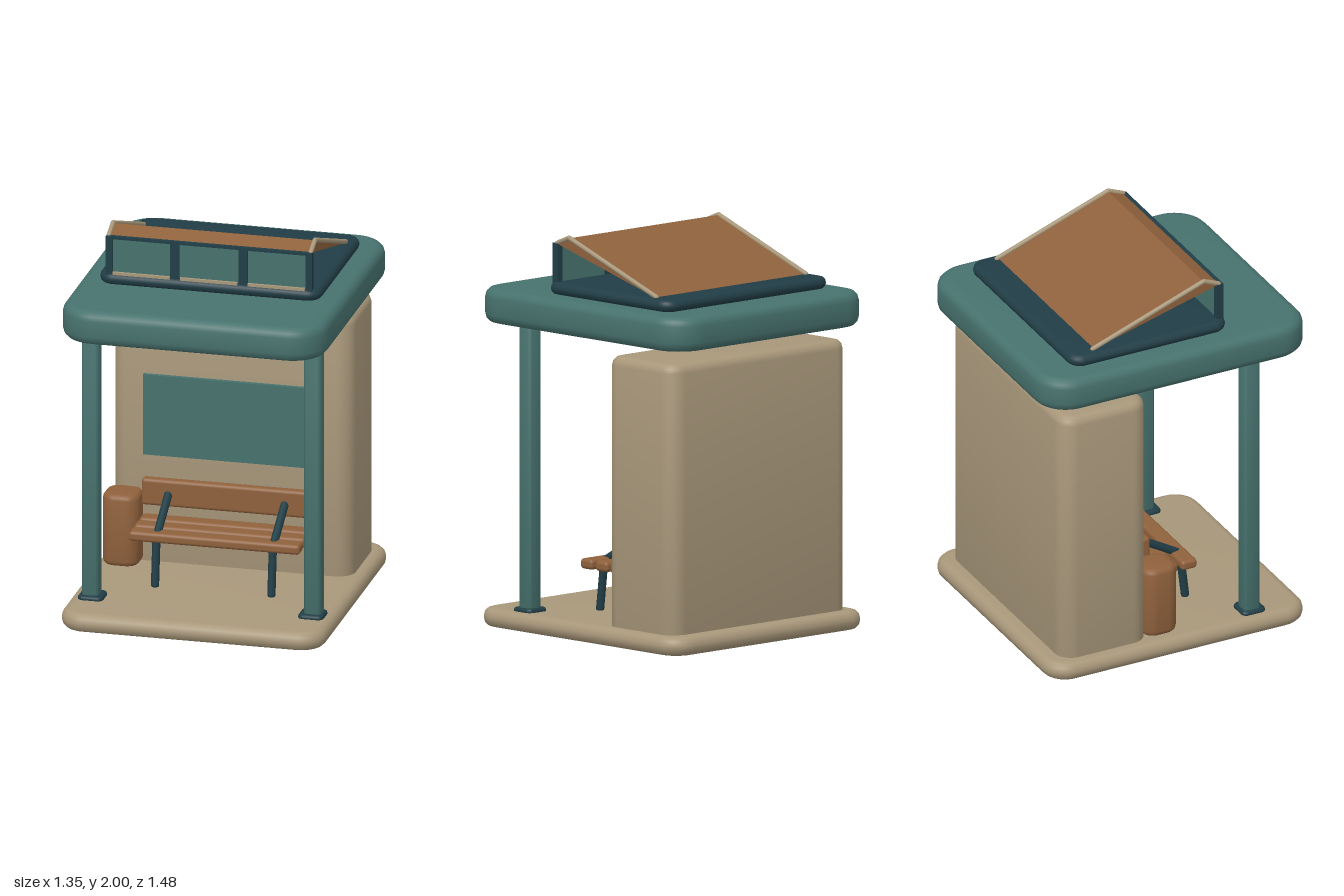
import * as THREE from 'three';
import { toCreasedNormals } from 'three/addons/utils/BufferGeometryUtils.js';
import { RoundedBoxGeometry } from 'three/addons/geometries/RoundedBoxGeometry.js';

function material(name, color) {
  const m = new THREE.MeshStandardMaterial({ color });
  m.name = name;
  return m;
}

// Rounded-corner slab lying flat, bevelled top and bottom, base at y = 0
function slabGeometry(w, d, h, r, bevel, segments = 3) {
  const x = w / 2 - bevel, y = d / 2 - bevel, c = r - bevel;
  const s = new THREE.Shape();
  s.moveTo(x, -y + c);
  s.lineTo(x, y - c);
  s.absarc(x - c, y - c, c, 0, Math.PI / 2);
  s.lineTo(-x + c, y);
  s.absarc(-x + c, y - c, c, Math.PI / 2, Math.PI);
  s.lineTo(-x, -y + c);
  s.absarc(-x + c, -y + c, c, Math.PI, Math.PI * 1.5);
  s.lineTo(x - c, -y);
  s.absarc(x - c, -y + c, c, Math.PI * 1.5, Math.PI * 2);
  const g = new THREE.ExtrudeGeometry(s, {
    depth: h - 2 * bevel, bevelEnabled: true, bevelSize: bevel,
    bevelThickness: bevel, bevelSegments: segments, curveSegments: 5,
  });
  g.translate(0, 0, bevel);
  g.rotateX(-Math.PI / 2);
  return toCreasedNormals(g, 0.75);
}

export function createModel() {
  const teal = material('teal', 0x47726e);
  const sand = material('sand', 0xa8977a);
  const wood = material('wood brown', 0x8f613c);
  const dark = material('dark slate', 0x213d46);
  const model = new THREE.Group();
  model.name = 'shelter';

  const add = (name, geometry, mat, x, y, z, parent = model) => {
    const mesh = new THREE.Mesh(geometry, mat);
    mesh.name = name;
    mesh.position.set(x, y, z);
    parent.add(mesh);
    return mesh;
  };
  const group = (name) => {
    const g = new THREE.Group();
    g.name = name;
    model.add(g);
    return g;
  };
  // Round-ended bar between two points
  const bar = (name, a, b, r, mat, parent) => {
    const p = new THREE.Vector3(...a), q = new THREE.Vector3(...b);
    const dir = q.clone().sub(p), mid = p.clone().add(q).multiplyScalar(0.5);
    const mesh = add(name, new THREE.CapsuleGeometry(r, dir.length(), 4, 12), mat, mid.x, mid.y, mid.z, parent);
    mesh.quaternion.setFromUnitVectors(new THREE.Vector3(0, 1, 0), dir.normalize());
  };

  // Floor, rear block and canopy
  add('floor', slabGeometry(1.35, 1.44, 0.095, 0.13, 0.042), sand, 0, 0, 0);
  add('rearBlock', slabGeometry(1.225, 0.485, 1.4, 0.09, 0.045), sand, 0, 0.05, -0.393);
  add('canopy', slabGeometry(1.35, 1.48, 0.175, 0.18, 0.046), teal, 0, 1.525, 0);
  add('noticePanel', new THREE.BoxGeometry(0.895, 0.42, 0.03), teal, 0, 0.87, -0.143);

  // Front posts on bevelled feet
  for (const side of [-1, 1]) {
    add('post', slabGeometry(0.088, 0.088, 1.46, 0.022, 0.008), teal, side * 0.568, 0.08, 0.425);
    add('postFoot', slabGeometry(0.13, 0.13, 0.03, 0.03, 0.014), dark, side * 0.563, 0.085, 0.43);
  }

  // Litter bin
  add('bin', slabGeometry(0.187, 0.187, 0.375, 0.065, 0.028), wood, -0.537, 0.105, -0.083);

  // Bench
  const bench = group('bench');
  for (const z of [0.164, 0.058, -0.045]) {
    add('seatSlat', new RoundedBoxGeometry(0.875, 0.052, 0.086, 3, 0.018), wood, 0, 0.345, z, bench);
  }
  add('backrest', new RoundedBoxGeometry(0.875, 0.14, 0.053, 3, 0.018), wood, 0, 0.49, -0.08, bench);
  for (const x of [-0.3, 0.295]) {
    bar('benchLeg', [x, 0.105, 0.207], [x, 0.345, 0.178], 0.021, dark, bench);
    bar('benchArm', [x, 0.345, 0.178], [x, 0.485, -0.06], 0.021, dark, bench);
  }

  // Rooftop vent: curb, window row and sloping cover
  const vent = group('roofVent');
  add('curb', slabGeometry(1.135, 0.875, 0.06, 0.075, 0.028), dark, 0, 1.7, -0.117, vent);
  for (const x of [-0.51, -0.175, 0.175, 0.51]) {
    const w = Math.abs(x) > 0.4 ? 0.034 : 0.045;
    add('windowPost', new THREE.BoxGeometry(w, 0.205, 0.036), dark, x, 1.85, 0.288, vent);
  }
  for (const x of [-0.345, 0, 0.345]) {
    add('window', new THREE.BoxGeometry(0.31, 0.19, 0.02), teal, x, 1.85, 0.285, vent);
    add('windowSill', new THREE.BoxGeometry(0.292, 0.014, 0.014), sand, x, 1.762, 0.308, vent);
  }
  add('topRail', new THREE.BoxGeometry(1.03, 0.014, 0.034), dark, 0, 1.946, 0.288, vent);

  // Cover: a wedge running across x, drawn as its side outline (z, y)
  const wedge = new THREE.Shape();
  wedge.moveTo(0.29, 1.95);
  wedge.lineTo(0.2, 1.986);
  wedge.lineTo(-0.415, 1.758);
  wedge.closePath();
  const cover = new THREE.ExtrudeGeometry(wedge, { depth: 1.03, bevelEnabled: false });
  cover.rotateY(-Math.PI / 2);
  add('cover', cover, wood, 0.515, 0, 0, vent);
  for (const x of [-0.516, 0.516]) {
    bar('coverTrimFront', [x, 1.954, 0.283], [x, 1.988, 0.2], 0.012, sand, vent);
    bar('coverTrimBack', [x, 1.988, 0.2], [x, 1.763, -0.42], 0.012, sand, vent);
  }
  return model;
}
